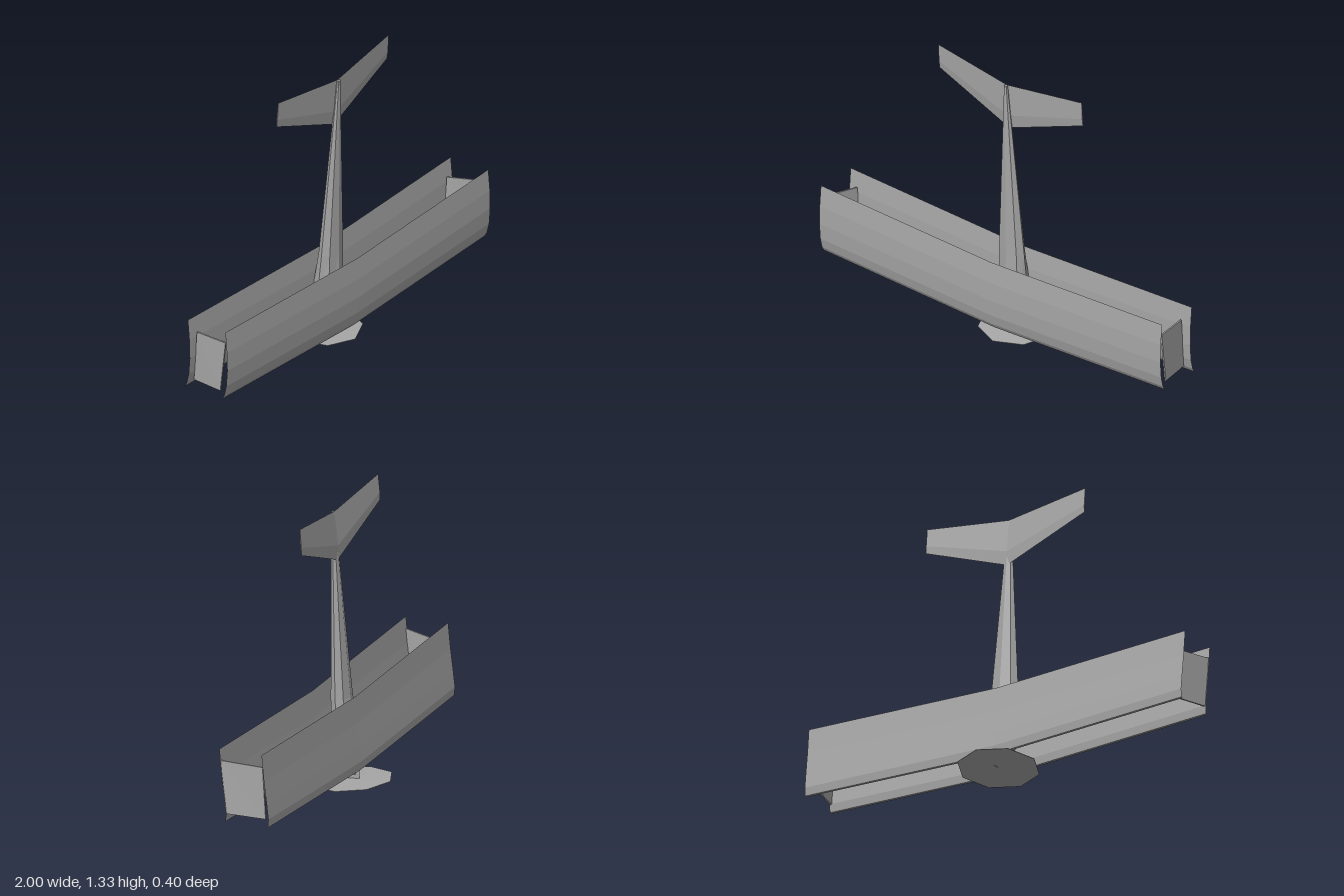
import * as THREE from 'three';

const grey = new THREE.MeshStandardMaterial({ color: 0xa6a6a6, flatShading: true });
grey.name = 'plain grey';

// Skin a row of closed cross-sections; points run counter-clockwise seen from the far end
function loft(name, rings, capped = true) {
  const n = rings[0].length;
  const index = [];
  for (let i = 0; i < rings.length - 1; i++) {
    for (let j = 0; j < n; j++) {
      const a = i * n + j, b = i * n + (j + 1) % n;
      index.push(a, b, b + n, a, b + n, a + n);
    }
  }
  if (capped) {
    const last = (rings.length - 1) * n;
    for (let j = 1; j < n - 1; j++) index.push(0, j + 1, j, last, last + j, last + j + 1);
  }
  const geometry = new THREE.BufferGeometry();
  geometry.setAttribute('position', new THREE.Float32BufferAttribute(rings.flat(2), 3));
  geometry.setIndex(index);
  geometry.computeVertexNormals();
  const mesh = new THREE.Mesh(geometry, grey);
  mesh.name = name;
  return mesh;
}

// Wing section as [y, z]: trailing edge, cambered side, leading edge, flat side
const airfoil = [
  [0.412, 0.189], [0.31, 0.198], [0.22, 0.2], [0.14, 0.194], [0.09, 0.182],
  [0.068, 0.168], [0.07, 0.158], [0.11, 0.155], [0.18, 0.163], [0.29, 0.177],
];

function wing(name, dz) {
  const rings = [-1, 0, 1].map((x) =>
    airfoil.map(([y, z]) => [x, y + 0.038 * Math.abs(x), z + dz]));
  return loft(name, rings, false); // the tips are open
}

// Fuselage ring: eight sides between the z limits
function hullRing(y, halfWidth, zBack, zFront) {
  const mid = (zBack + zFront) / 2, depth = (zFront - zBack) / 2;
  return Array.from({ length: 8 }, (_, j) => {
    const a = (j * Math.PI) / 4;
    return [halfWidth * Math.sin(a), y, mid + depth * Math.cos(a)];
  });
}

// Thin slanted panel joining the wing tips
function strut(side) {
  const t = 0.004;
  const ring = (x, y0, z0, y1, z1) => [
    [x + t, y0, z0], [x + t, y1, z1], [x - t, y1, z1], [x - t, y0, z0],
  ];
  return loft(side > 0 ? 'leftStrut' : 'rightStrut', [
    ring(side * 0.95, 0.13, -0.02, 0.375, -0.004),
    ring(side * 0.993, 0.145, 0.158, 0.395, 0.187),
  ]);
}

export function createModel() {
  const model = new THREE.Group();
  model.name = 'biplane';

  model.add(wing('frontWing', 0), wing('backWing', -0.21));
  model.add(strut(1), strut(-1));

  // Tapered body, nose down
  model.add(loft('fuselage', [
    hullRing(0.045, 0.012, -0.03, 0.03),
    hullRing(0.095, 0.05, -0.045, 0.085),
    hullRing(0.2, 0.078, -0.04, 0.09),
    hullRing(0.41, 0.072, 0, 0.088),
    hullRing(1.285, 0.009, 0.079, 0.095),
  ]));

  // Swept tailplane with thin diamond section
  const tailRing = (x, y0, z0, y1, z1, t) => {
    const y = y0 * 0.7 + y1 * 0.3, z = z0 * 0.7 + z1 * 0.3;
    return [[x, y1, z1], [x, y, z + t], [x, y0, z0], [x, y, z - t]];
  };
  model.add(loft('tailplane', [
    tailRing(-0.42, 1.21, 0.049, 1.333, 0.058, 0.003),
    tailRing(0, 1.055, 0.063, 1.285, 0.08, 0.006),
    tailRing(0.42, 1.21, 0.049, 1.333, 0.058, 0.003),
  ]));

  // Narrow nose pylon above the propeller
  model.add(loft('nosePylon', [
    hullRing(0.015, 0.005, -0.045, 0.055),
    hullRing(0.055, 0.006, -0.045, 0.058),
    hullRing(0.09, 0.018, -0.045, 0.06),
  ]));

  // Tilted eight-sided propeller disc
  const profile = [[0, -0.003], [0.19, -0.001], [0.19, 0.001], [0, 0.007]]
    .map(([r, y]) => new THREE.Vector2(r, y));
  const disc = new THREE.Mesh(new THREE.LatheGeometry(profile, 8), grey);
  disc.name = 'propellerDisc';
  disc.position.set(0, 0.0177, -0.009);
  disc.rotation.x = 0.087;
  model.add(disc);

  return model;
}
